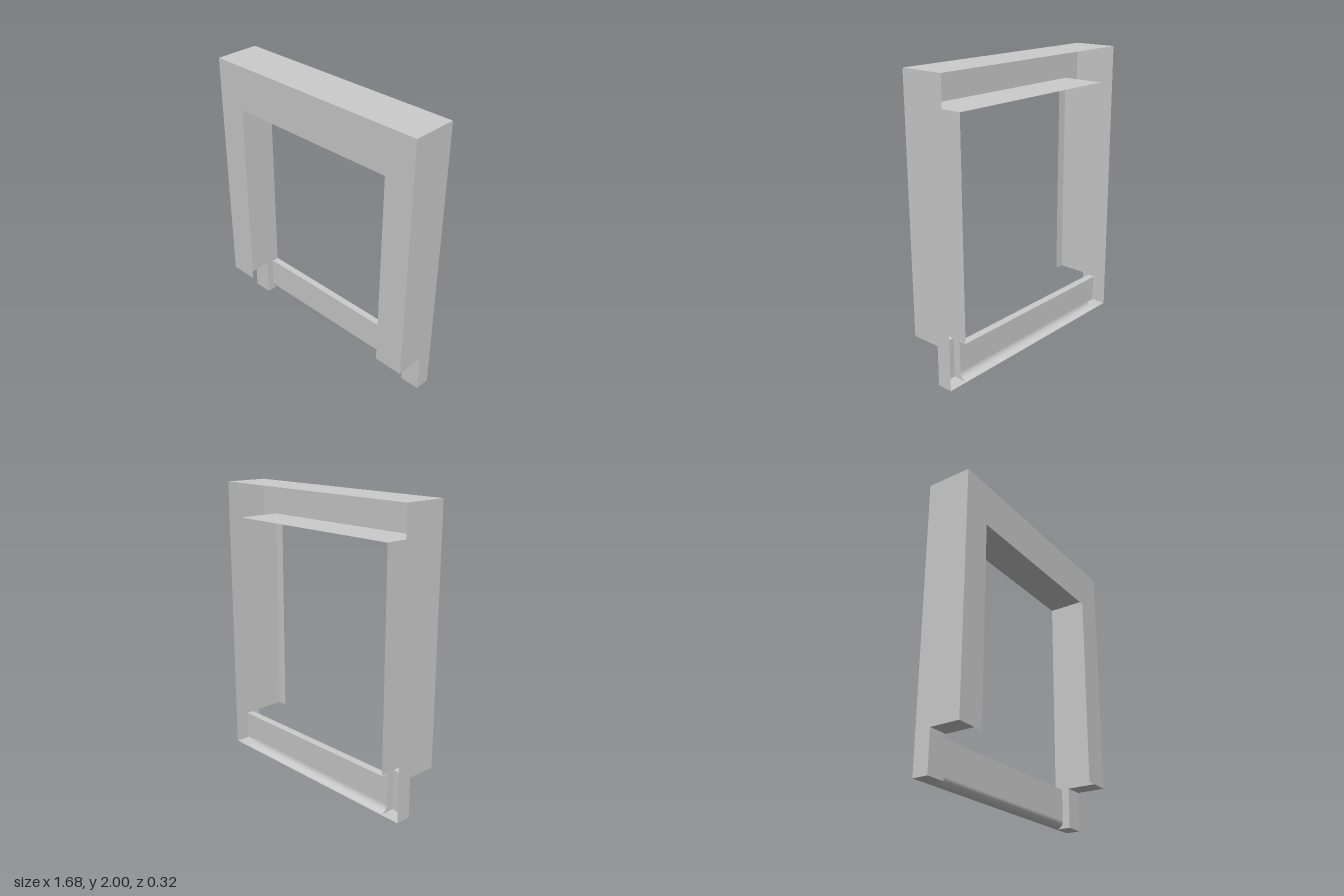
import * as THREE from 'three';

const material = new THREE.MeshStandardMaterial({ color: 0xcccccc, side: THREE.DoubleSide });

const W = 0.84, JAMB = 0.70, OPEN = 0.63;             // half widths: outer, reveal, opening
const TOP = 2, REVEAL_TOP = 1.76, OPEN_TOP = 1.69, SILL = 0.28;
const FRONT = 0.158, STEP = -0.05, PANEL = -0.105, BACK = -0.158;

function add(parent, name, geometry) {
  const mesh = new THREE.Mesh(geometry, material);
  mesh.name = name;
  parent.add(mesh);
}

function outline(points) {
  return new THREE.Shape(points.map(([a, b]) => new THREE.Vector2(a, b)));
}

// Upright sheet facing sideways at x, outlined by [z, y] points
function sideSheet(x, points) {
  return new THREE.ShapeGeometry(outline(points)).rotateY(-Math.PI / 2).translate(x, 0, 0);
}

// Sheet swept along x from x0 to x1, following a [z, y] profile
function sweptSheet(x0, x1, profile) {
  const geometry = new THREE.PlaneGeometry(1, 1, 1, profile.length - 1);
  const pos = geometry.attributes.position;
  profile.forEach(([z, y], i) => {
    pos.setXYZ(2 * i, x0, y, z);
    pos.setXYZ(2 * i + 1, x1, y, z);
  });
  geometry.computeVertexNormals();
  return geometry;
}

export function createModel() {
  const model = new THREE.Group();
  model.name = 'openingSurround';

  // Front face: thin arch-like plate with a square opening
  add(model, 'frontFace', new THREE.ShapeGeometry(outline([
    [-W, SILL], [-OPEN, SILL], [-OPEN, OPEN_TOP], [OPEN, OPEN_TOP],
    [OPEN, SILL], [W, SILL], [W, TOP], [-W, TOP],
  ])).translate(0, 0, FRONT));

  // Top cover and the head of the inner reveal
  add(model, 'topCover', sweptSheet(-W, W, [[BACK, TOP], [FRONT, TOP]]));
  add(model, 'revealHead', sweptSheet(-JAMB, JAMB, [[BACK, REVEAL_TOP], [FRONT, REVEAL_TOP]]));

  // Bottom panel: upright, with a quarter-round sweep to the back edge
  const radius = PANEL - BACK;
  const curve = [];
  for (let i = 0; i <= 12; i++) {
    const a = (i / 12) * Math.PI / 2;
    curve.push([BACK + radius * Math.cos(a), radius * (1 - Math.sin(a))]);
  }
  const profile = [[PANEL, SILL], [PANEL, radius + 0.005], ...curve];
  add(model, 'bottomPanel', sweptSheet(-JAMB, JAMB, profile));
  add(model, 'panelLedge', sweptSheet(-JAMB, JAMB, [[BACK, SILL - 0.004], [PANEL, SILL - 0.004]]));

  // Mirrored sides, reveals and feet
  for (const [side, s] of [['left', 1], ['right', -1]]) {
    const group = new THREE.Group();
    group.name = side + 'Jamb';
    model.add(group);
    const inner = s * JAMB, outer = s * W;

    add(group, 'outerSide', sideSheet(outer, [
      [BACK, 0], [STEP, 0], [STEP, SILL], [FRONT, SILL], [FRONT, TOP], [BACK, TOP],
    ]));
    add(group, 'revealSide', sideSheet(inner, [
      [BACK, SILL], [FRONT, SILL], [FRONT, REVEAL_TOP], [BACK, REVEAL_TOP],
    ]));
    add(group, 'jambUnderside', sweptSheet(inner, outer, [[STEP, SILL], [FRONT, SILL]]));
    add(group, 'footFront', sweptSheet(inner, outer, [[STEP, SILL], [STEP, 0]]));
    add(group, 'footBottom', sweptSheet(inner, outer, [[STEP, 0], [BACK, 0]]));
    add(group, 'footInnerSide', sideSheet(inner, [[STEP, 0], [STEP, SILL], ...profile]));
  }
  return model;
}
